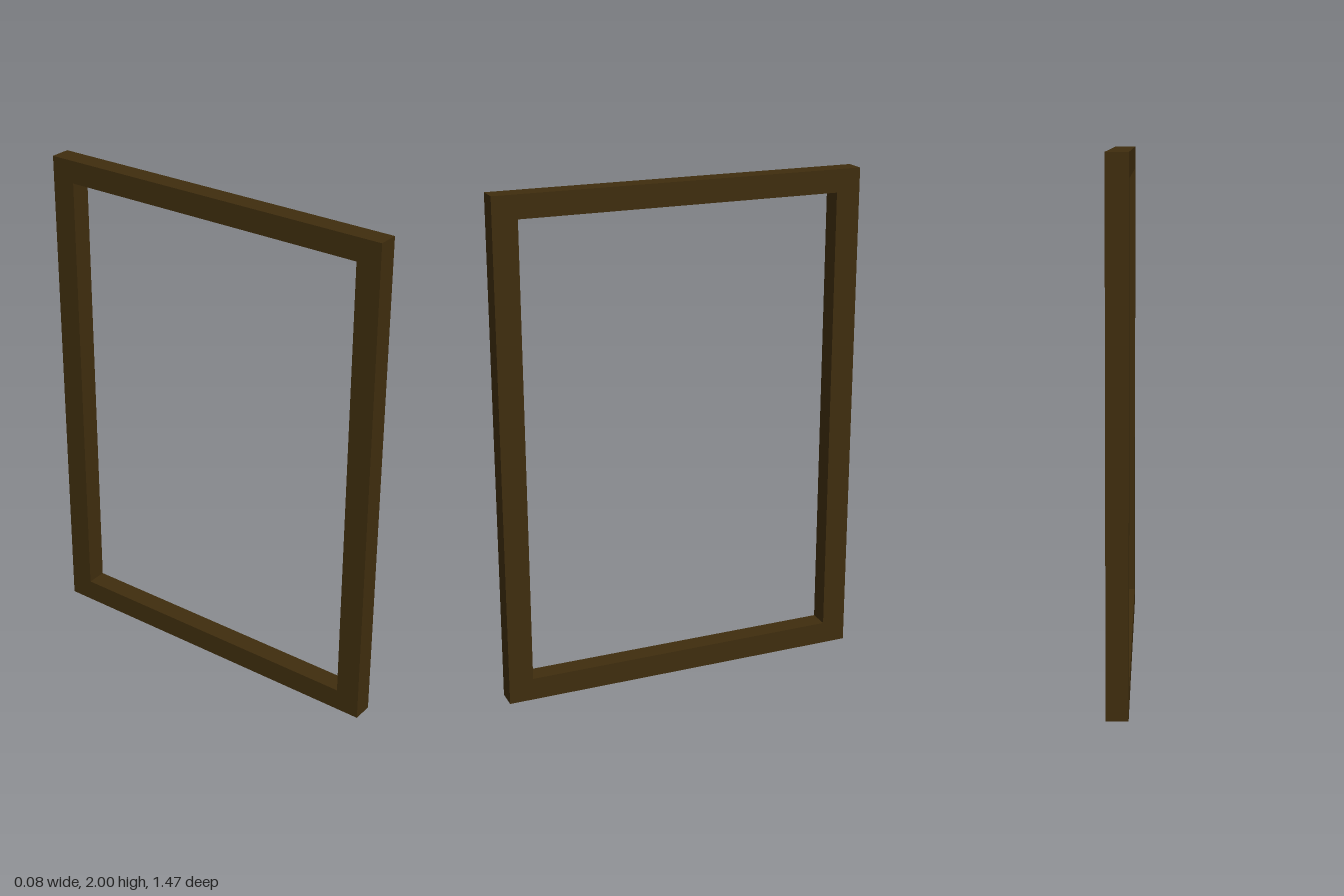
import * as THREE from 'three';

const HEIGHT = 2, WIDTH = 1.47, DEPTH = 0.082;
const RAIL = 0.09, STILE = 0.097;

export function createModel() {
  const group = new THREE.Group();
  group.name = 'frame';
  const wood = new THREE.MeshStandardMaterial({ color: 0x3f2d0e });

  const addBar = (name, height, length, y, z) => {
    const bar = new THREE.Mesh(new THREE.BoxGeometry(DEPTH, height, length), wood);
    bar.name = name;
    bar.position.set(0, y, z);
    group.add(bar);
  };

  // Horizontal rails span the full width
  addBar('bottomRail', RAIL, WIDTH, RAIL / 2, 0);
  addBar('topRail', RAIL, WIDTH, HEIGHT - RAIL / 2, 0);

  // Upright stiles fit between the rails
  for (const [name, side] of [['frontStile', 1], ['backStile', -1]]) {
    addBar(name, HEIGHT - 2 * RAIL, STILE, HEIGHT / 2, side * (WIDTH - STILE) / 2);
  }
  return group;
}
